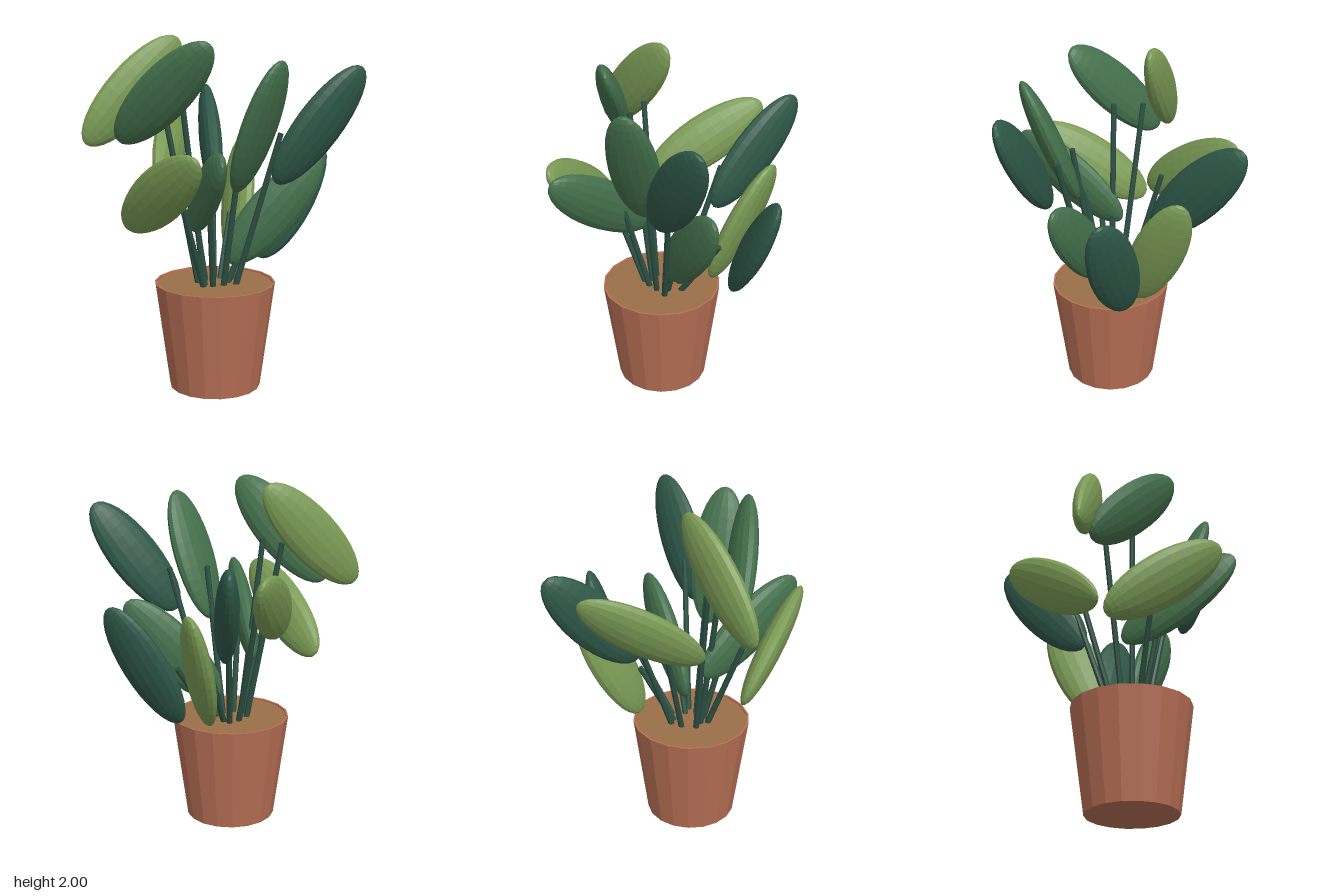
import * as THREE from 'three';

const mat = (color) => new THREE.MeshStandardMaterial({ color, flatShading: true });
const light = mat(0x7a9a55), mid = mat(0x44704c), dark = mat(0x2f5849);
const stemMat = mat(0x2c4f42);
const rad = THREE.MathUtils.degToRad;
const potCentre = new THREE.Vector3(-0.04, 0, 0.107);

function add(group, name, geometry, material) {
  const mesh = new THREE.Mesh(geometry, material);
  mesh.name = name;
  group.add(mesh);
  return mesh;
}

// Flattened ellipsoid blade, long along y and thin along z
const leafGeometry = new THREE.SphereGeometry(1, 16, 16).scale(0.148, 0.394, 0.067);

// Shoot: a leaf at (x, y, z), turned to a heading, tilted from upright and
// rolled about its long axis (degrees), on a straight stem fanning from the pot
function makeShoot(material, x, y, z, heading, tilt, roll) {
  const shoot = new THREE.Group();
  shoot.name = 'shoot';

  const leaf = add(shoot, 'leaf', leafGeometry, material);
  leaf.position.set(x, y, z);
  leaf.rotation.set(rad(tilt), rad(heading), 0, 'YXZ');
  leaf.rotateY(rad(roll));

  const foot = potCentre.clone().lerp(leaf.position, 0.2).setY(0.58);
  const end = potCentre.clone().lerp(leaf.position, 0.64).setY(y - 0.05);
  const stem = add(shoot, 'stem', new THREE.CylinderGeometry(0.016, 0.018, foot.distanceTo(end), 8), stemMat);
  stem.position.lerpVectors(foot, end, 0.5);
  stem.quaternion.setFromUnitVectors(new THREE.Vector3(0, 1, 0), end.sub(foot).normalize());
  return shoot;
}

export function createModel() {
  const model = new THREE.Group();
  model.name = 'pottedPlant';

  // Tapered pot with a thin rim
  const profile = [[0, 0], [0.26, 0], [0.343, 0.615], [0.332, 0.615], [0.328, 0.58]];
  const potMat = mat(0xb87055);
  potMat.side = THREE.DoubleSide;
  const pot = add(model, 'pot',
    new THREE.LatheGeometry(profile.map(([r, y]) => new THREE.Vector2(r, y)), 18), potMat);
  pot.position.copy(potCentre);

  const soil = add(model, 'soil', new THREE.CylinderGeometry(0.331, 0.328, 0.02, 18), mat(0x9a7048));
  soil.position.copy(potCentre).setY(0.595);

  // Light, dark and mid-green shoots
  model.add(
    makeShoot(light, -0.25, 1.36, -0.3, 165, 59, 69),
    makeShoot(light, 0.155, 1.005, -0.315, 163, 26, -49),
    makeShoot(light, -0.377, 1.185, 0.435, 31, 55, -66),
    makeShoot(light, -0.49, 1.7, 0.03, 104, 44, 90),
    makeShoot(dark, 0.01, 1.355, -0.475, 180, 42, 90),
    makeShoot(dark, 0.45, 1.015, -0.21, 98, 29, 53),
    makeShoot(dark, 0.505, 1.525, 0.305, 90, 37, -68),
    makeShoot(mid, 0.295, 1.015, 0.105, 90, 42, 90),
    makeShoot(mid, 0.163, 1.525, 0.37, 44, 22, 0),
    makeShoot(mid, -0.13, 1.185, 0.43, 8, 55, 84),
    makeShoot(mid, -0.338, 1.7, 0.245, 56, 46, -65),
  );
  return model;
}
